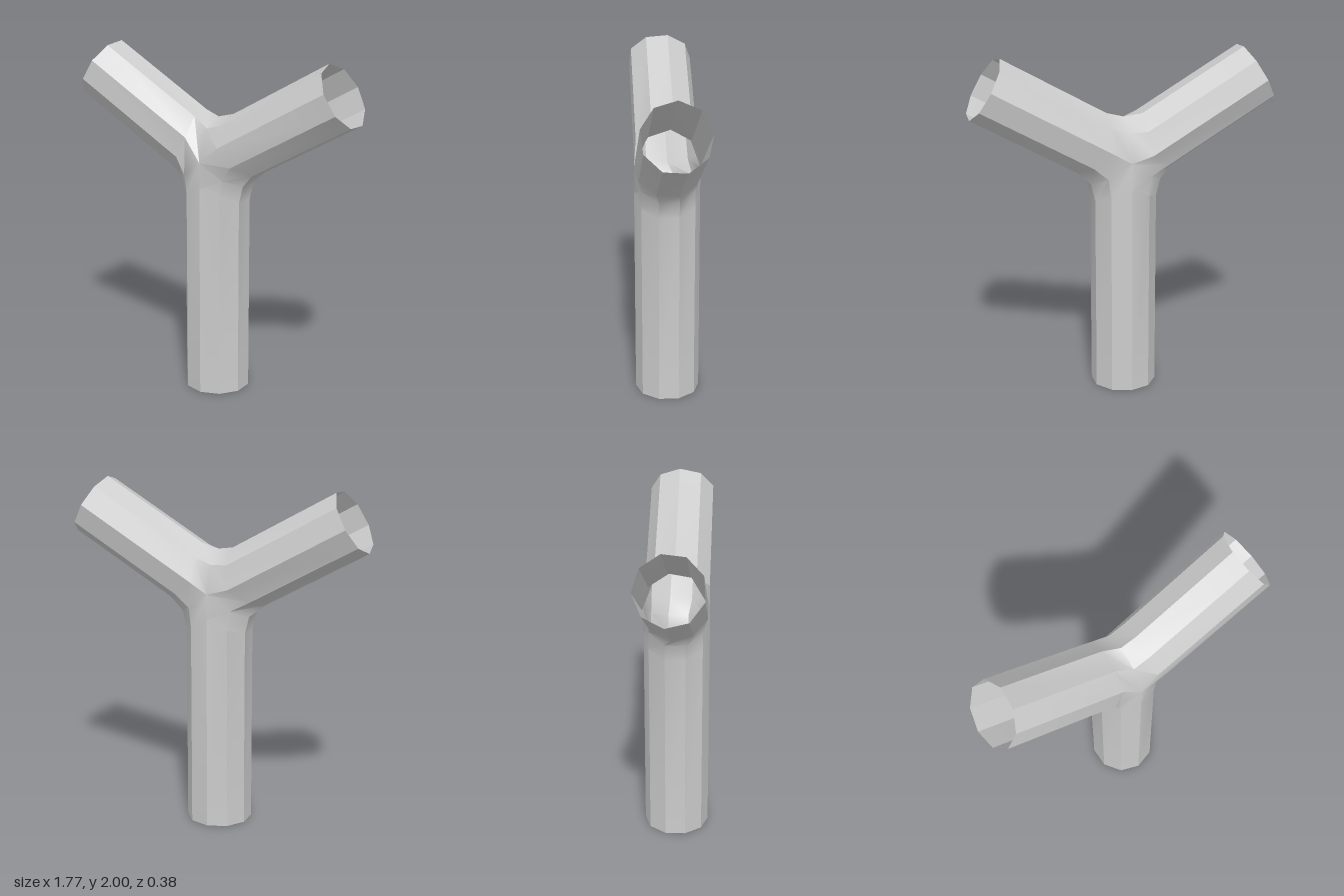
import * as THREE from 'three';
import { toCreasedNormals } from 'three/addons/utils/BufferGeometryUtils.js';

const RADIUS = 0.19;
const SEAM_RADIUS = 0.25; // seams bulge a little to soften the crotches
const CENTRE_Y = 1.38;
const rad = THREE.MathUtils.degToRad;

// Arms in turning order: direction, length, sides and angle of the first rib.
const ARMS = [
  { angle: 30, length: 0.912, sides: 9, start: -84 },
  { angle: 150, length: 0.912, sides: 9, start: -86 },
  { angle: 270, length: 1.38, sides: 10, start: -90 },
];
// Seam k lies between arm k and the next; angles run from back to front.
const SEAMS = [[-44, -4, 36], [-54, -18, 18, 54], [-54, -18, 18, 54]];

const heading = (deg) => new THREE.Vector3(Math.cos(rad(deg)), Math.sin(rad(deg)), 0);

function createPipeGeometry() {
  const positions = [];
  const index = [];
  const addPoint = (p) => positions.push(p.x, p.y + CENTRE_Y, p.z) / 3 - 1;

  // Points shared by all three arms
  const front = addPoint(new THREE.Vector3(0, 0.02, RADIUS));
  const back = addPoint(new THREE.Vector3(0, 0.02, -RADIUS));
  const seams = SEAMS.map((angles, k) => angles.map((t) => {
    const p = heading(ARMS[k].angle + 60).multiplyScalar(SEAM_RADIUS * Math.cos(rad(t)));
    p.z = RADIUS * Math.sin(rad(t));
    return addPoint(p);
  }));

  ARMS.forEach(({ angle, length, sides, start }, k) => {
    const along = heading(angle);
    const across = heading(angle + 90);
    const ring = (distance) => Array.from({ length: sides }, (_, j) => {
      const a = rad(start + j * 360 / sides);
      const u = RADIUS * Math.cos(a);
      const p = across.clone().multiplyScalar(u).addScaledVector(along, distance(u));
      p.z = RADIUS * Math.sin(a);
      return addPoint(p);
    });

    // Seam loop, shoulder ring and open end
    const rings = [
      [back, ...seams[k], front, ...[...seams[(k + 2) % 3]].reverse()],
      ring((u) => 0.13 + 0.5 * Math.abs(u)),
      ring(() => length),
    ];
    for (let r = 0; r < 2; r++) {
      for (let j = 0; j < sides; j++) {
        const n = (j + 1) % sides;
        const [a, b, c, d] = [rings[r][j], rings[r][n], rings[r + 1][n], rings[r + 1][j]];
        index.push(a, b, c, a, c, d);
      }
    }
  });

  const geometry = new THREE.BufferGeometry();
  geometry.setAttribute('position', new THREE.Float32BufferAttribute(positions, 3));
  geometry.setIndex(index);
  return toCreasedNormals(geometry, 0.6);
}

export function createModel() {
  const grey = new THREE.MeshStandardMaterial({ color: 0xcccccc, side: THREE.DoubleSide });
  grey.name = 'light grey';

  const pipe = new THREE.Mesh(createPipeGeometry(), grey);
  pipe.name = 'branchingPipe';

  const model = new THREE.Group();
  model.name = 'pipeJunction';
  model.add(pipe);
  return model;
}
